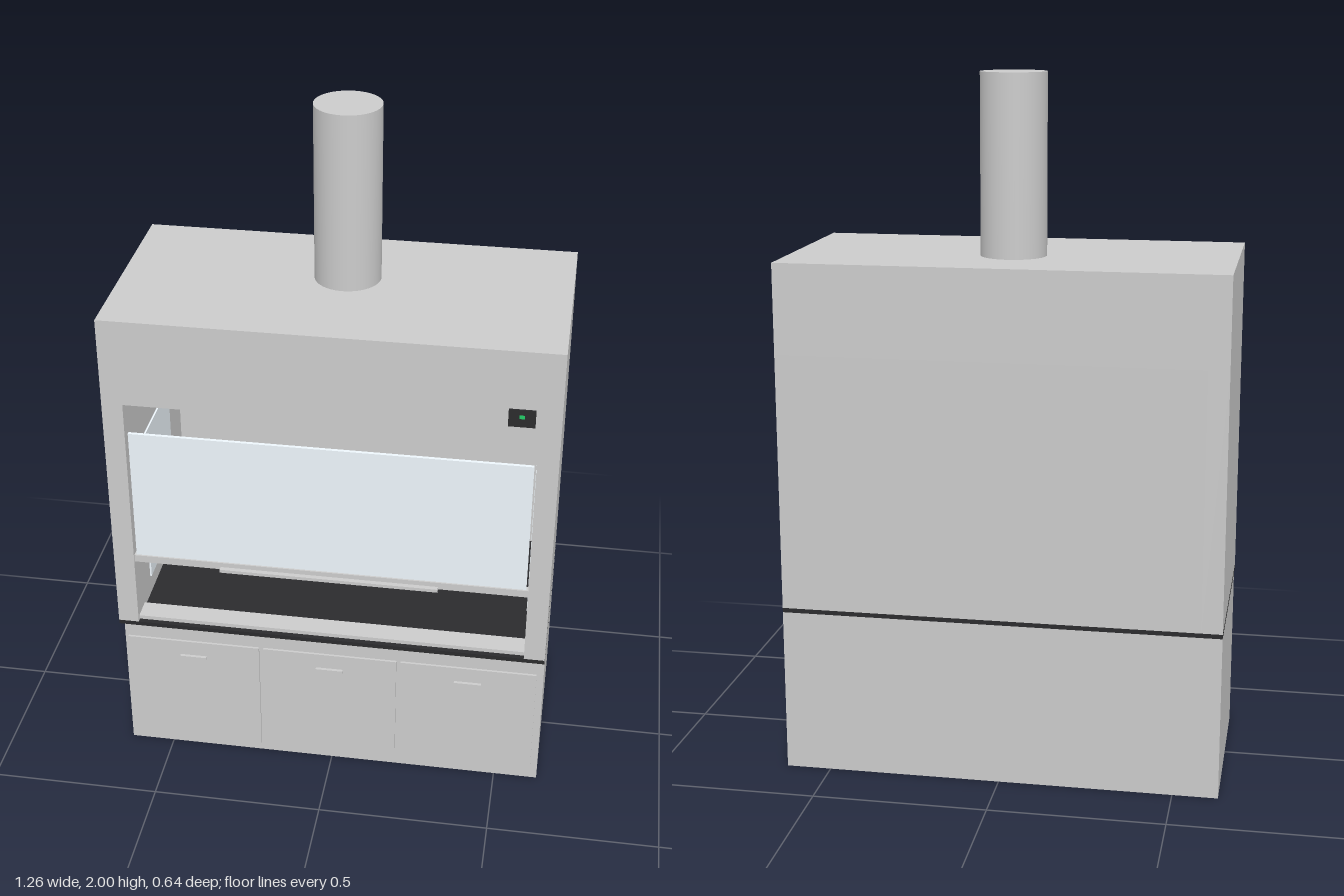
import * as THREE from 'three';

const mat = (color) => new THREE.MeshStandardMaterial({ color });

export function createModel() {
  const group = new THREE.Group();
  const grey = mat(0xcccccc);
  const black = mat(0x2b2b2d);
  const glass = mat(0xeef6fc);
  const green = mat(0x22cc66);

  // Box given by its extents along each axis
  function box(name, [x0, x1], [y0, y1], [z0, z1], material = grey) {
    const mesh = new THREE.Mesh(new THREE.BoxGeometry(x1 - x0, y1 - y0, z1 - z0), material);
    mesh.position.set((x0 + x1) / 2, (y0 + y1) / 2, (z0 + z1) / 2);
    mesh.name = name;
    group.add(mesh);
    return mesh;
  }

  const W = 0.63, BACK = -0.317, FRONT = 0.31;
  const TOP = 1.49, DECK = 0.49, OPEN_TOP = 1.233, OPEN_W = 0.57;

  // Base cabinet with three doors standing off its front
  box('baseCabinet', [-W, W], [0, 0.477], [BACK, 0.26]);
  for (const x of [-0.411, 0, 0.411]) {
    box('cabinetDoor', [x - 0.199, x + 0.199], [0.057, 0.422], [0.291, 0.298]);
    box('doorHandle', [x - 0.04, x + 0.04], [0.366, 0.374], [0.298, 0.307]);
  }

  // Dark worktop
  box('worktop', [-W, W], [0.477, DECK], [BACK, FRONT], black);

  // Hood shell: side walls, back wall and deep header
  for (const s of [-1, 1]) {
    const xs = [s * W, s * OPEN_W].sort((a, b) => a - b);
    box('sideWall', xs, [DECK, OPEN_TOP], [BACK, FRONT]);
    // Inspection window on the inside of each wall
    const ws = [s * OPEN_W, s * 0.565].sort((a, b) => a - b);
    box('sideWindow', ws, [0.55, 1.03], [-0.15, 0.16], glass);
  }
  box('backWall', [-OPEN_W, OPEN_W], [DECK, OPEN_TOP], [BACK, -0.29]);
  box('header', [-W, W], [OPEN_TOP, TOP], [BACK, FRONT]);
  box('ceilingLamp', [-0.53, 0.53], [1.226, OPEN_TOP], [-0.05, 0.05]);

  // Low airfoil sill across the opening
  box('airfoilSill', [-OPEN_W, OPEN_W], [0.494, 0.506], [0.235, 0.3]);

  // Sliding sash with its bottom rail and handle
  box('sashGlass', [-0.564, 0.564], [0.727, 1.135], [0.29, 0.3], glass);
  box('sashRail', [-OPEN_W, OPEN_W], [0.705, 0.727], [0.285, 0.305]);
  box('sashHandle', [-0.315, 0.315], [0.703, 0.713], [0.305, 0.319]);

  // Control panel with indicator light
  box('controlPanel', [0.487, 0.56], [1.266, 1.318], [FRONT, 0.315], black);
  box('indicatorLight', [0.516, 0.531], [1.292, 1.302], [0.315, 0.317], green);

  // Exhaust duct
  const duct = new THREE.Mesh(new THREE.CylinderGeometry(0.094, 0.094, 2 - TOP, 48), grey);
  duct.position.set(0, (2 + TOP) / 2, -0.058);
  duct.name = 'exhaustDuct';
  group.add(duct);

  return group;
}
